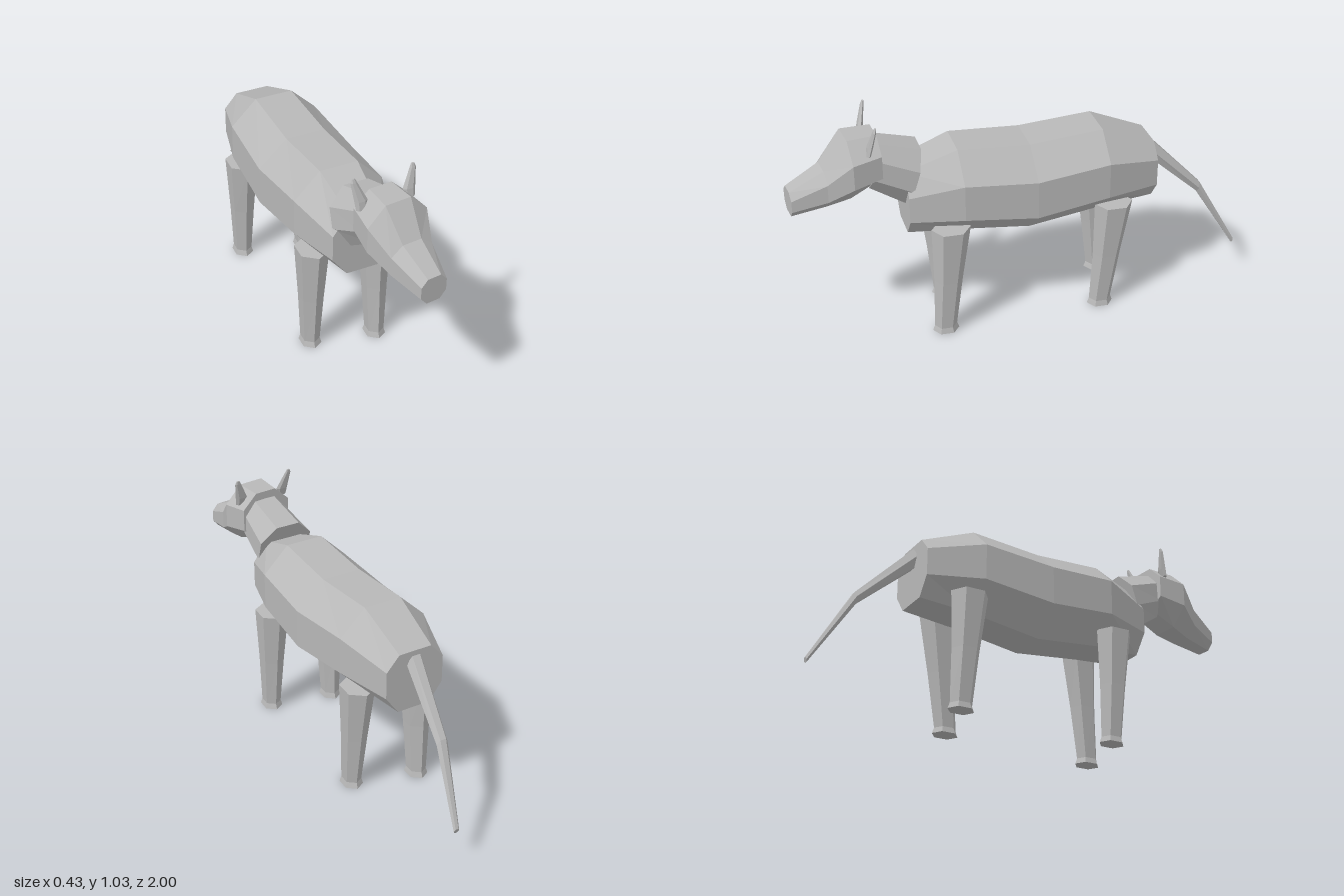
import * as THREE from 'three';

const hide = new THREE.MeshStandardMaterial({ color: 0xb8b8b8, flatShading: true });
hide.name = 'grey hide';

// Closed skin over rings of [x, y, z]; rings run counter-clockwise seen from the last ring's end.
function loft(name, rings) {
  const pos = [];
  const n = rings[0].length;
  const tri = (a, b, c) => pos.push(...a, ...b, ...c);
  for (let r = 0; r + 1 < rings.length; r++) {
    const a = rings[r], b = rings[r + 1];
    for (let i = 0; i < n; i++) {
      const j = (i + 1) % n;
      tri(a[i], a[j], b[j]);
      tri(a[i], b[j], b[i]);
    }
  }
  const first = rings[0], last = rings[rings.length - 1];
  for (let i = 1; i + 1 < n; i++) {
    tri(first[0], first[i + 1], first[i]);
    tri(last[0], last[i], last[i + 1]);
  }
  const geo = new THREE.BufferGeometry();
  geo.setAttribute('position', new THREE.Float32BufferAttribute(pos, 3));
  geo.computeVertexNormals();
  const mesh = new THREE.Mesh(geo, hide);
  mesh.name = name;
  return mesh;
}

// Upright octagon: flat half width, full half width, four heights;
// z leans from bottom to top and yaw turns it slightly.
function octagon({ x = 0, zBot, zTop = zBot, flat, wide, y, yaw = 0 }) {
  const [bot, low, high, top] = y;
  const corners = [[flat, bot], [wide, low], [wide, high], [flat, top],
    [-flat, top], [-wide, high], [-wide, low], [-flat, bot]];
  return corners.map(([px, py]) => {
    const t = (py - bot) / (top - bot);
    return [x + px, py, zBot + (zTop - zBot) * t - px * yaw];
  });
}

// Level ellipse, counter-clockwise from above
function levelRing(x, y, z, rx, rz, sides, turn) {
  return Array.from({ length: sides }, (_, i) => {
    const a = turn + (i / sides) * Math.PI * 2;
    return [x + Math.cos(a) * rx, y, z - Math.sin(a) * rz];
  });
}

function createLeg(name, side, zTop, zFoot) {
  const x = side * 0.143, footX = side * 0.139;
  const turn = -Math.PI * 0.19;
  const mid = (zTop + zFoot) / 2;
  return loft(name, [
    levelRing(footX, 0, zFoot, 0.047, 0.058, 6, turn),
    levelRing(footX, 0.025, zFoot, 0.04, 0.049, 6, turn),
    levelRing((x + footX) / 2, 0.26, mid, 0.053, 0.062, 6, turn),
    levelRing(x, 0.515, zTop, 0.07, 0.084, 6, turn),
  ]);
}

export function createModel() {
  const model = new THREE.Group();
  model.name = 'animal';

  // Barrel body, rump to chest
  model.add(loft('body', [
    octagon({ zBot: -0.58, flat: 0.075, wide: 0.133, y: [0.48, 0.56, 0.68, 0.745] }),
    octagon({ zBot: -0.34, flat: 0.085, wide: 0.2, y: [0.465, 0.575, 0.735, 0.845] }),
    octagon({ zBot: -0.02, flat: 0.088, wide: 0.215, y: [0.425, 0.54, 0.71, 0.825] }),
    octagon({ zBot: 0.29, flat: 0.085, wide: 0.2, y: [0.465, 0.575, 0.735, 0.848] }),
    octagon({ zBot: 0.51, flat: 0.07, wide: 0.135, y: [0.48, 0.565, 0.68, 0.77] }),
  ]));

  // Neck
  model.add(loft('neck', [
    octagon({ zBot: 0.51, zTop: 0.435, flat: 0.055, wide: 0.125, y: [0.615, 0.7, 0.79, 0.86] }),
    octagon({ x: 0.015, zBot: 0.66, zTop: 0.62, flat: 0.05, wide: 0.1, y: [0.72, 0.78, 0.865, 0.92] }),
  ]));

  // Head, narrowing to a blunt muzzle and turned a little to its left
  model.add(loft('head', [
    octagon({ x: 0.008, zBot: 0.62, flat: 0.05, wide: 0.118, y: [0.745, 0.79, 0.89, 0.955], yaw: 0.08 }),
    octagon({ x: 0.017, zBot: 0.745, flat: 0.057, wide: 0.135, y: [0.69, 0.77, 0.878, 0.956], yaw: 0.1 }),
    octagon({ x: 0.026, zBot: 0.845, flat: 0.042, wide: 0.093, y: [0.665, 0.712, 0.79, 0.83], yaw: 0.1 }),
    octagon({ x: 0.043, zBot: 0.99, flat: 0.03, wide: 0.058, y: [0.648, 0.68, 0.73, 0.76], yaw: 0.12 }),
  ]));

  // Ears, thin and leaning outward and back
  for (const side of [1, -1]) {
    const at = (out) => 0.01 + side * out;
    model.add(loft(side > 0 ? 'leftEar' : 'rightEar', [
      levelRing(at(0.105), 0.9, 0.663, 0.022, 0.01, 6, 0),
      levelRing(at(0.103), 0.935, 0.655, 0.028, 0.012, 6, 0),
      levelRing(at(0.126), 1.012, 0.637, 0.014, 0.007, 6, 0),
      levelRing(at(0.127), 1.028, 0.633, 0.007, 0.004, 6, 0),
    ]));
  }

  // Legs
  model.add(
    createLeg('frontLeftLeg', 1, 0.34, 0.375),
    createLeg('frontRightLeg', -1, 0.335, 0.312),
    createLeg('backLeftLeg', 1, -0.38, -0.332),
    createLeg('backRightLeg', -1, -0.385, -0.412),
  );

  // Tail, tip to root
  const tail = [[0.067, 0.158, -0.995, 0.013, 0.012], [0.027, 0.455, -0.82, 0.026, 0.025],
    [0, 0.69, -0.575, 0.037, 0.042]];
  model.add(loft('tail', tail.map(([x, y, z, rx, ry]) =>
    Array.from({ length: 6 }, (_, i) => {
      const a = (i / 6) * Math.PI * 2;
      return [x + Math.cos(a) * rx, y + Math.sin(a) * ry, z - Math.sin(a) * ry * 0.3];
    }))));

  return model;
}
